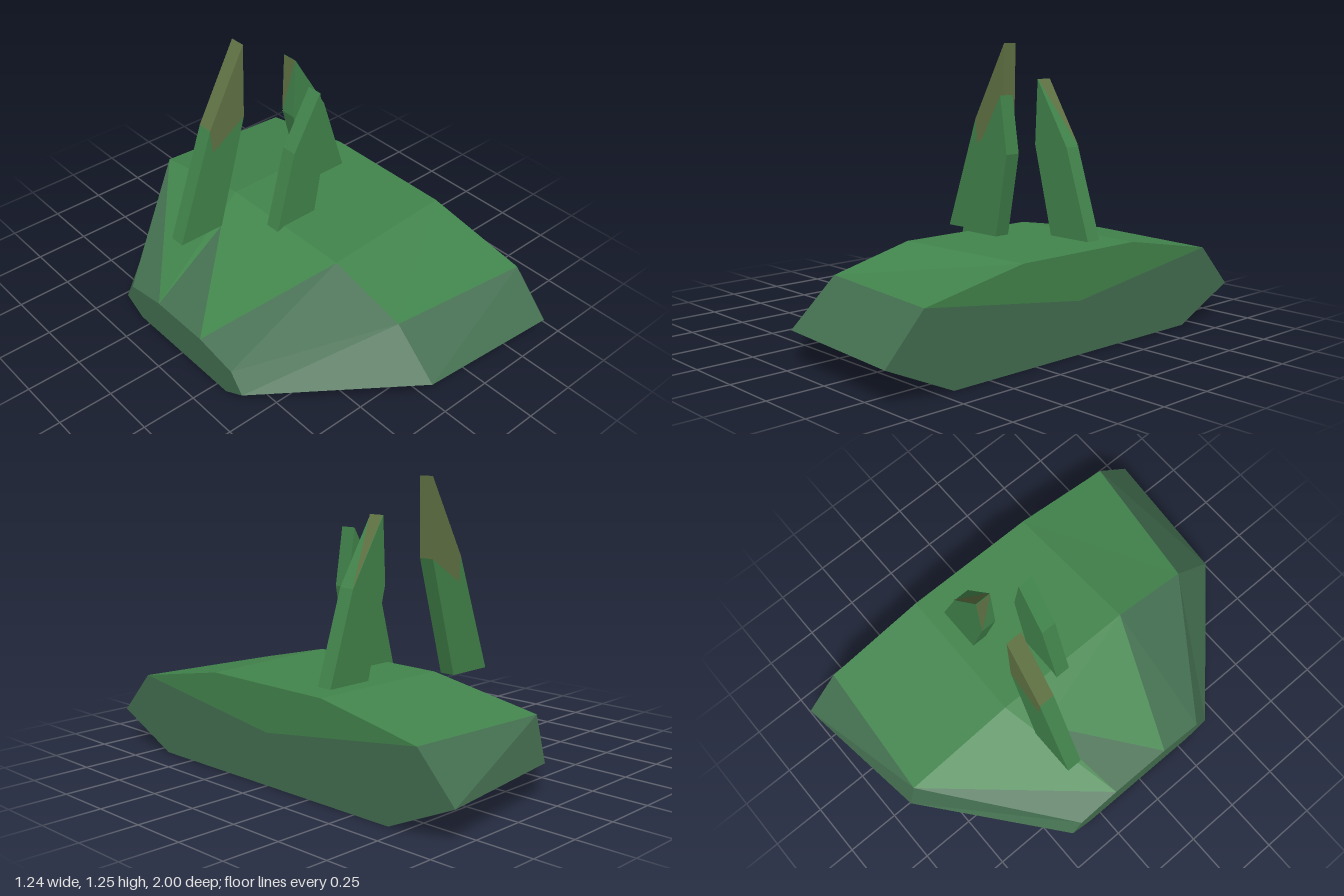
import * as THREE from 'three';

const mossGreen = new THREE.MeshStandardMaterial({ color: 0x43864d });
const stoneGreen = new THREE.MeshStandardMaterial({ color: 0x446f50 });
const dryOlive = new THREE.MeshStandardMaterial({ color: 0x637546 });

// Cross-sections of the rock along x: [z, y] from front base over the top to back base
const sections = [
  [-0.62, [[0.31, 0], [0.42, 0.06], [0.35, 0.145], [0.14, 0.18], [-0.16, 0.18], [-0.37, 0.145], [-0.42, 0.06], [-0.31, 0]]],
  [-0.04, [[0.68, 0], [0.95, 0.145], [0.74, 0.335], [0.36, 0.425], [-0.33, 0.425], [-0.865, 0.335], [-0.91, 0.145], [-0.68, 0]]],
  [0.62, [[0.68, 0], [1, 0.145], [0.82, 0.335], [0.325, 0.425], [-0.325, 0.425], [-0.82, 0.335], [-1, 0.145], [-0.68, 0]]],
].map(([x, ring]) => ring.map(([z, y]) => [x, y, z]));

// Flat-shaded mesh from a list of triangles
function facetMesh(name, triangles, material) {
  const geometry = new THREE.BufferGeometry();
  geometry.setAttribute('position', new THREE.Float32BufferAttribute(triangles.flat(2), 3));
  geometry.computeVertexNormals();
  const mesh = new THREE.Mesh(geometry, material);
  mesh.name = name;
  return mesh;
}

function buildRock() {
  const moss = [], stone = [];
  const patchTip = [-0.2, 0.357, -0.24];
  for (let s = 0; s < 2; s++) {
    const a = sections[s], b = sections[s + 1];
    for (let i = 0; i < 8; i++) {
      const j = (i + 1) % 8;
      if (s === 0 && i === 3) {
        // Sloping top with a bare stone patch
        stone.push([a[3], patchTip, a[4]]);
        moss.push([a[3], b[3], patchTip], [b[3], b[4], patchTip], [patchTip, b[4], a[4]]);
        continue;
      }
      const topStrip = i >= 2 && i <= 4;
      const first = topStrip && (s === 1 || i === 4) ? moss : stone;
      const second = topStrip && s === 1 ? moss : stone;
      first.push([a[i], b[i], b[j]]);
      second.push([a[i], b[j], a[j]]);
    }
  }
  // End faces; the wide one has moss hanging down in a V
  const [narrow, , wide] = sections;
  const narrowCentre = [-0.62, 0.09, 0], mossDip = [0.62, 0.225, 0];
  for (let i = 0; i < 8; i++) {
    const j = (i + 1) % 8;
    stone.push([narrowCentre, narrow[i], narrow[j]]);
    (i >= 2 && i <= 4 ? moss : stone).push([mossDip, wide[j], wide[i]]);
  }
  const rock = new THREE.Group();
  rock.name = 'rock';
  rock.add(facetMesh('rockMoss', moss, mossGreen), facetMesh('rockStone', stone, stoneGreen));
  return rock;
}

// Flat blade of grass with an outline in x, y and a thickness in z
function blade(name, outline, zBack, material) {
  const shape = new THREE.Shape(outline.map(([x, y]) => new THREE.Vector2(x, y)));
  const geometry = new THREE.ExtrudeGeometry(shape, { depth: 0.073, bevelEnabled: false });
  const mesh = new THREE.Mesh(geometry, material);
  mesh.position.z = zBack;
  mesh.name = name;
  return mesh;
}

export function createModel() {
  const model = new THREE.Group();
  model.name = 'grassyRock';
  model.add(buildRock());

  // Tall blade with a dry tip
  model.add(
    blade('tallBlade', [[-0.435, 0.375], [-0.21, 0.375], [-0.065, 0.9], [-0.24, 0.785], [-0.25, 0.9]], -0.295, mossGreen),
    blade('tallBladeTip', [[-0.065, 0.9], [-0.06, 1.25], [-0.25, 0.9], [-0.24, 0.785]], -0.295, dryOlive),
  );

  // Short blade
  model.add(blade('shortBlade', [[-0.085, 0.38], [0.133, 0.38], [0.205, 0.785], [0.165, 1.035], [0.02, 0.785]], -0.057, mossGreen));

  // Middle blade with dry edges near the tip
  const zBack = -0.252, zFront = zBack + 0.073;
  model.add(blade('middleBlade', [[0.295, 0.38], [0.513, 0.38], [0.37, 0.815], [0.195, 1.1], [0.183, 0.815]], zBack, mossGreen));
  const offset = 0.003;
  model.add(facetMesh('middleBladeDryEdges', [
    [[0.37 + offset, 0.815, zBack], [0.195 + offset, 1.1, zBack], [0.195 + offset, 1.1, zFront]],
    [[0.195 - offset, 1.1, zBack], [0.183 - offset, 0.815, zBack], [0.195 - offset, 1.1, zFront]],
  ], dryOlive));

  return model;
}
